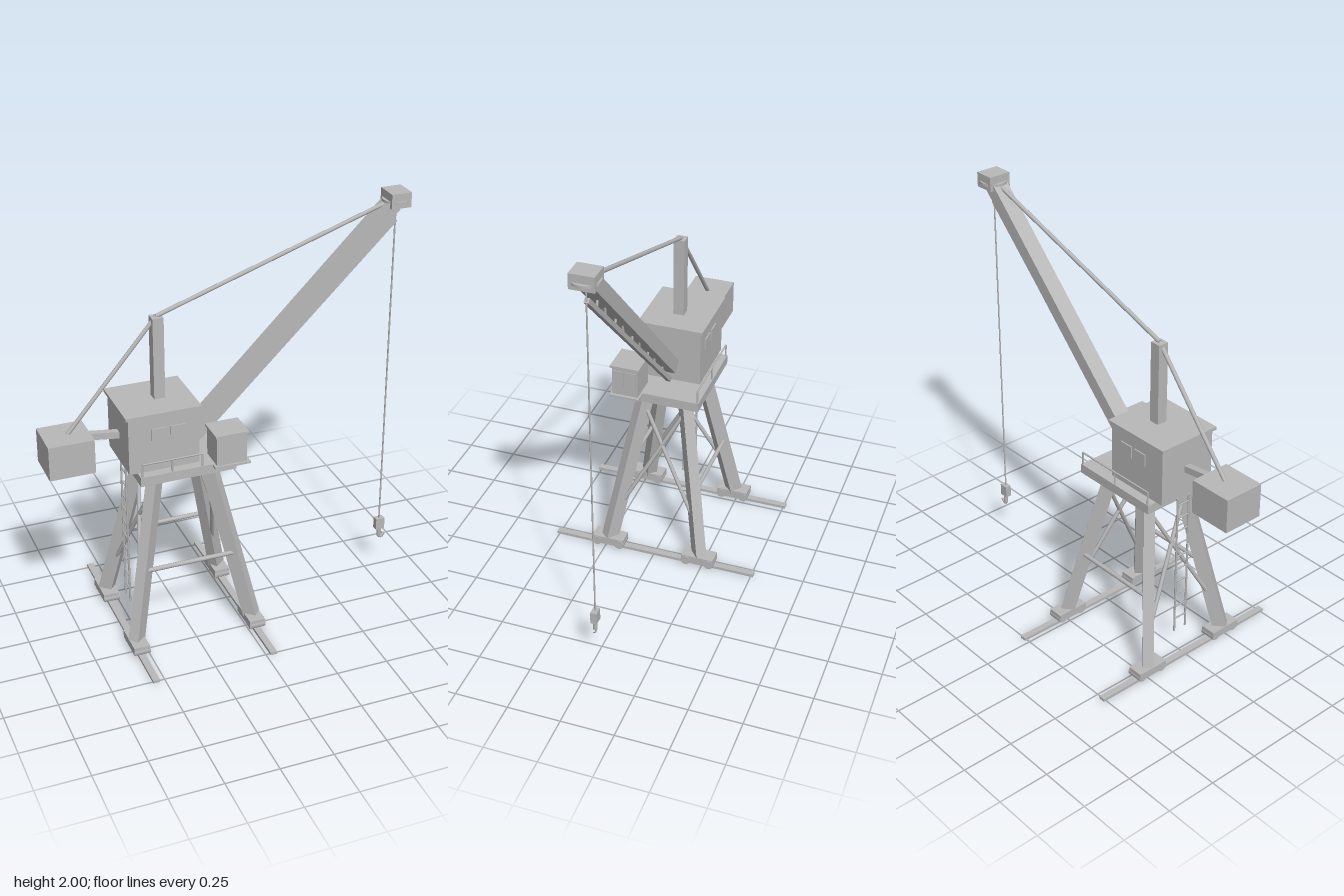
import * as THREE from 'three';

export function createModel() {
  const model = new THREE.Group();
  const paint = new THREE.MeshStandardMaterial({ color: 0xb8b8b8 });
  paint.name = 'grey paint';
  const V = (x, y, z) => new THREE.Vector3(x, y, z);

  function add(name, geometry, x = 0, y = 0, z = 0) {
    const mesh = new THREE.Mesh(geometry, paint);
    mesh.name = name;
    mesh.position.set(x, y, z);
    model.add(mesh);
    return mesh;
  }
  // box given by its extents
  const box = (name, x0, x1, y0, y1, z0, z1) =>
    add(name, new THREE.BoxGeometry(x1 - x0, y1 - y0, z1 - z0), (x0 + x1) / 2, (y0 + y1) / 2, (z0 + z1) / 2);
  // rectangular beam between two points: w is horizontal, h is across
  function beam(name, a, b, w, h = w) {
    const mid = a.clone().add(b).multiplyScalar(0.5);
    const m = add(name, new THREE.BoxGeometry(w, h, a.distanceTo(b)), mid.x, mid.y, mid.z);
    m.lookAt(b);
    return m;
  }
  // round bar between two points
  function rod(name, a, b, r, sides = 8) {
    const mid = a.clone().add(b).multiplyScalar(0.5);
    const m = add(name, new THREE.CylinderGeometry(r, r, a.distanceTo(b), sides), mid.x, mid.y, mid.z);
    m.quaternion.setFromUnitVectors(V(0, 1, 0), b.clone().sub(a).normalize());
    return m;
  }

  // rails, bogies, wheels and splayed legs
  for (const [footX, topX] of [[-0.542, -0.385], [0.035, -0.13]]) {
    box('rail', footX - 0.016, footX + 0.016, 0, 0.014, -0.512, 0.512);
    const legX = (y) => footX + ((topX - footX) * (y - 0.05)) / 0.79;
    for (const s of [-1, 1]) {
      const z = s * 0.232;
      box('bogie', footX - 0.038, footX + 0.038, 0.022, 0.06, z - 0.08, z + 0.08);
      for (const d of [-0.058, 0.058]) {
        rod('wheel', V(footX - 0.034, 0.033, z + d), V(footX + 0.041, 0.033, z + d), 0.024, 16);
      }
      beam('leg', V(footX, 0.05, z), V(topX, 0.845, s * 0.095), 0.052, 0.066);
      // crossing diagonal braces between front and back legs
      rod('diagonalBrace', V(legX(0.15), 0.15, z), V(legX(0.75), 0.75, -s * 0.092), 0.01);
    }
  }
  for (const s of [-1, 1]) {
    rod('sideBrace', V(-0.485, 0.39, s * 0.19), V(-0.02, 0.39, s * 0.19), 0.011);
  }

  // deck with the cross bar below
  box('deck', -0.485, -0.028, 0.842, 0.888, -0.193, 0.193);
  box('crossBar', -0.27, -0.242, 0.8, 0.828, -0.07, 0.07);

  // deck handrails, the front one stopping short of the cab
  for (const [z, endX] of [[0.187, -0.19], [-0.187, -0.035]]) {
    rod('handrail', V(-0.475, 0.95, z), V(endX, 0.95, z), 0.0045, 6);
    for (const t of [0, 0.5, 1]) {
      const x = -0.475 + t * (endX + 0.475);
      rod('handrailPost', V(x, 0.885, z), V(x, 0.95, z), 0.0045, 6);
    }
  }

  // ladder
  for (const z of [-0.034, 0.034]) rod('ladderRail', V(-0.505, 0.13, z), V(-0.505, 0.865, z), 0.005, 6);
  for (let y = 0.2; y < 0.85; y += 0.07) rod('ladderRung', V(-0.505, y, -0.034), V(-0.505, y, 0.034), 0.004, 6);

  // machinery house
  box('house', -0.523, -0.19, 0.888, 1.165, -0.148, 0.148);
  box('houseRoof', -0.537, -0.18, 1.163, 1.178, -0.16, 0.16);
  for (const s of [-1, 1]) {
    for (const x of [-0.38, -0.29]) {
      box('houseWindow', x - 0.035, x + 0.035, 1.04, 1.1, s * 0.15 - 0.004, s * 0.15 + 0.004);
    }
  }

  // operator cab
  box('cab', -0.13, 0.015, 0.885, 1.032, 0.09, 0.216);
  box('cabRoof', -0.138, 0.022, 1.03, 1.041, 0.082, 0.224);
  box('cabFloor', -0.142, 0.03, 0.876, 0.887, 0.08, 0.226);
  for (const z of [0.122, 0.182]) box('cabWindow', 0.012, 0.019, 0.935, 1.015, z - 0.025, z + 0.025);

  // mast, stays and counterweight
  const mastTop = V(-0.331, 1.572, 0);
  box('mast', -0.357, -0.305, 1.17, 1.57, -0.026, 0.026);
  rod('boomStay', mastTop, V(0.78, 1.95, 0), 0.01);
  rod('counterweightStay', mastTop, V(-0.765, 1.06, 0), 0.01);
  beam('counterweightArm', V(-0.68, 1.044, 0), V(-0.51, 1.022, 0), 0.032);
  box('counterweight', -0.875, -0.663, 0.905, 1.07, -0.1, 0.1);

  // boom with lower chord and short zigzag struts
  const boomA = V(-0.172, 0.975, 0), boomB = V(0.8, 1.943, 0);
  const chordA = V(-0.175, 0.895, 0), chordB = V(0.818, 1.863, 0);
  beam('boom', boomA, boomB, 0.08, 0.066);
  beam('boomChord', chordA, chordB, 0.022);
  for (let i = 0; i < 9; i++) {
    const t = 0.1 + i * 0.1;
    const up = boomA.clone().lerp(boomB, t + (i % 2 ? 0.03 : -0.01));
    rod('boomStrut', chordA.clone().lerp(chordB, t), up, 0.006, 6);
  }

  // boom head with flat sheave
  box('boomHead', 0.77, 0.868, 1.93, 2, -0.056, 0.056);
  rod('sheave', V(0.819, 1.951, 0), V(0.819, 1.963, 0), 0.065, 24);

  // hoist cable and hook
  rod('cable', V(0.82, 0.27, 0), V(0.82, 1.935, 0), 0.004, 6);
  box('hookBlock', 0.798, 0.844, 0.215, 0.275, -0.015, 0.015);
  rod('hookShank', V(0.823, 0.17, 0), V(0.823, 0.22, 0), 0.011);
  const hook = new THREE.CatmullRomCurve3([V(0.823, 0.185, 0), V(0.823, 0.169, 0), V(0.834, 0.164, 0), V(0.849, 0.181, 0)]);
  add('hook', new THREE.TubeGeometry(hook, 12, 0.009, 8));

  return model;
}
